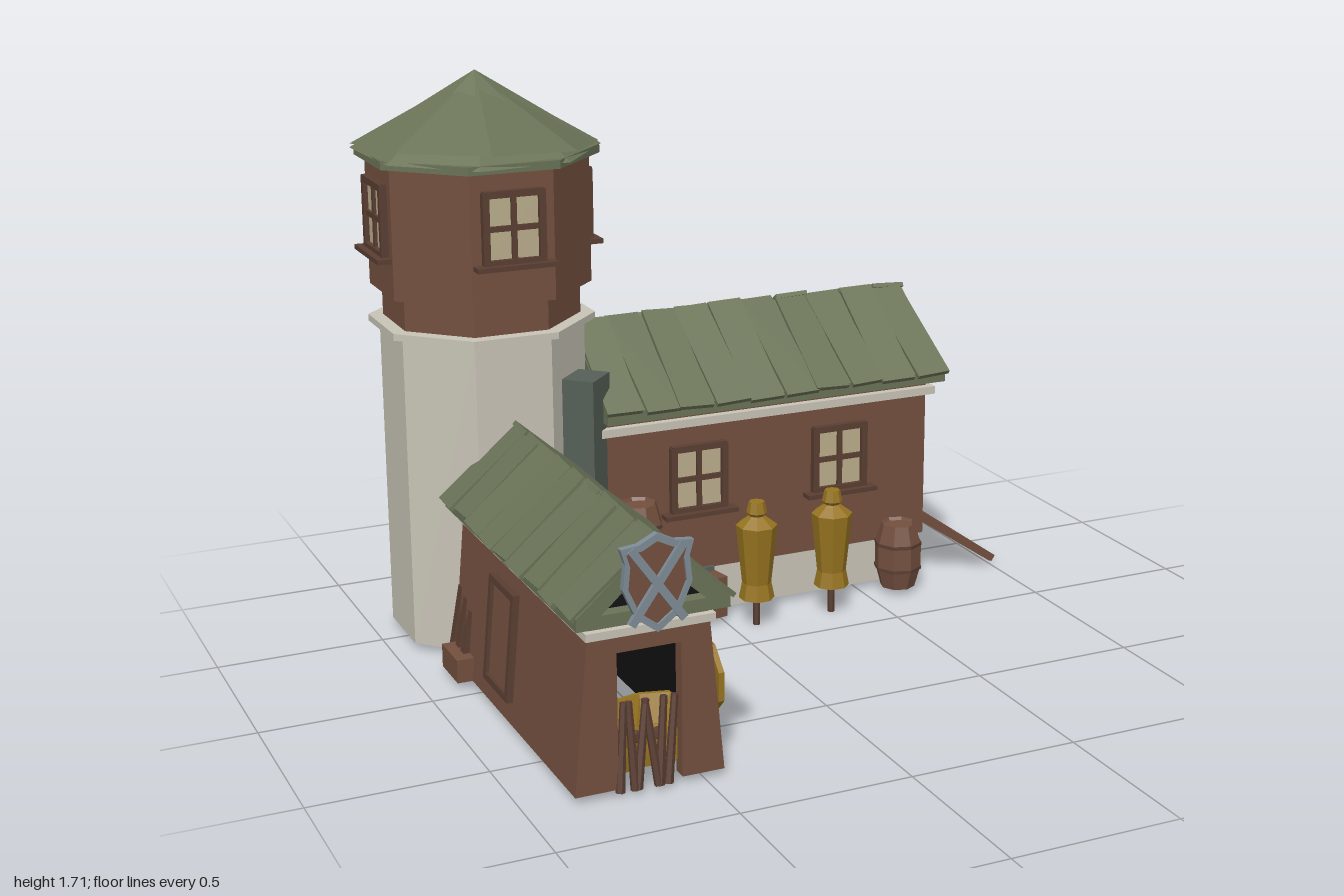
import * as THREE from 'three';

const mat = (name, color) => { const m = new THREE.MeshStandardMaterial({ color }); m.name = name; return m; };
const M = {
  wood: mat('brown wood', 0x74503f), dark: mat('dark wood', 0x5a3e32), roof: mat('green roof', 0x6a7357),
  stone: mat('pale stone', 0xc8c4b6), moss: mat('mossy stone', 0x566058), pane: mat('cream pane', 0xbbae8c),
  gold: mat('straw gold', 0x977420), black: mat('dark interior', 0x121212), steel: mat('steel', 0x7e8b95),
};

// Faceted mesh, added to a parent
function add(parent, name, geo, material, x = 0, y = 0, z = 0) {
  const g = geo.index ? geo.toNonIndexed() : geo;
  g.computeVertexNormals();
  const m = new THREE.Mesh(g, material);
  m.name = name;
  m.position.set(x, y, z);
  parent.add(m);
  return m;
}
function group(parent, name, x = 0, y = 0, z = 0, ry = 0) {
  const g = new THREE.Group();
  g.name = name;
  g.position.set(x, y, z);
  g.rotation.y = ry;
  parent.add(g);
  return g;
}
const box = (w, h, d) => new THREE.BoxGeometry(w, h, d);
// Box given by its limits
const span = (p, name, m, x0, x1, y0, y1, z0, z1) =>
  add(p, name, box(x1 - x0, y1 - y0, z1 - z0), m, (x0 + x1) / 2, (y0 + y1) / 2, (z0 + z1) / 2);
// Octagonal drum with flats on the axes, sized by flat distance
const octagon = (top, bottom, h) => {
  const k = Math.cos(Math.PI / 8);
  return new THREE.CylinderGeometry(top / k, bottom / k, h, 8).rotateY(Math.PI / 8);
};
const poly = pts => new THREE.Shape(pts.map(p => new THREE.Vector2(...p)));
function prism(outer, depth, hole) {
  const s = poly(outer);
  if (hole) s.holes.push(poly(hole));
  return new THREE.ExtrudeGeometry(s, { depth, bevelEnabled: false });
}
let seed = 7;
const rand = () => (seed = (seed * 16807) % 2147483647) / 2147483647 - 0.5;

// Four-pane window facing +z, standing on its sill
function makeWindow(parent, x, y, z, ry, w = 0.18, h = 0.21) {
  const g = group(parent, 'window', x, y, z, ry);
  add(g, 'pane', box(w, h, 0.008), M.pane, 0, h / 2, 0.004);
  for (const s of [-1, 1]) {
    add(g, 'frameSide', box(0.02, h, 0.024), M.dark, s * (w / 2 - 0.006), h / 2, 0.01);
    add(g, 'frameRail', box(w, 0.02, 0.024), M.dark, 0, h / 2 + s * (h / 2 - 0.006), 0.01);
  }
  add(g, 'mullion', box(0.016, h, 0.018), M.dark, 0, h / 2, 0.008);
  add(g, 'crossbar', box(w, 0.016, 0.018), M.dark, 0, h / 2, 0.008);
  add(g, 'sill', box(w + 0.06, 0.014, 0.045), M.dark, 0, -0.005, 0.02);
}

// Gable roof with its ridge along z and loose planks on both slopes
function gableRoof(parent, name, x, y, z, ry, half, rise, len, gable) {
  const g = group(parent, name, x, y, z, ry), e = 0.035;
  add(g, 'roofShell', prism([[-half, 0], [half, 0], [half, e], [0, rise], [-half, e]], len,
    [[-half * 0.68, e], [0, rise - 0.055], [half * 0.68, e]]), M.roof, 0, 0, -len / 2);
  add(g, 'gable', prism([[-half * 0.7, 0.03], [half * 0.7, 0.03], [0, rise - 0.05]], len - 0.08), gable, 0, 0, -len / 2 + 0.04);
  const angle = Math.atan2(rise - e, half), slope = Math.hypot(half, rise - e), n = Math.round(len / 0.115);
  for (const s of [-1, 1]) {
    const side = group(g, 'slope', s * half / 2, (rise + e) / 2 + 0.004, 0);
    side.rotation.z = -s * angle;
    for (let i = 0; i < n; i++) {
      const w = len / n;
      const p = add(side, 'plank', box(slope + 0.02 + rand() * 0.03, 0.014, w * 0.97), M.roof,
        s * 0.008, rand() * 0.006, (i + 0.5) * w - len / 2);
      p.rotation.set(rand() * 0.1, rand() * 0.1, rand() * 0.03);
    }
  }
}

function barrel(parent, x, y, z, ry) {
  const g = group(parent, 'barrel', x, y, z, ry);
  const pts = [[0, 0], [0.055, 0], [0.074, 0.07], [0.074, 0.14], [0.055, 0.21], [0.05, 0.2], [0, 0.2]];
  add(g, 'staves', new THREE.LatheGeometry(pts.map(p => new THREE.Vector2(...p)), 8), M.wood);
  for (const h of [0.065, 0.145]) add(g, 'hoop', new THREE.CylinderGeometry(0.076, 0.076, 0.01, 8), M.dark, 0, h, 0);
}

// Domed eight-sided practice target facing +x
function target(parent, x, y, z) {
  const g = group(parent, 'target', x, y, z);
  const pts = [[0, -0.012], [0.107, -0.012], [0.107, 0.004], [0.025, 0.024], [0.025, 0.03], [0, 0.035]];
  add(g, 'disc', new THREE.LatheGeometry(pts.map(p => new THREE.Vector2(...p)), 8).rotateY(Math.PI / 8).rotateZ(-Math.PI / 2), M.gold);
  add(g, 'boss', new THREE.CylinderGeometry(0.014, 0.02, 0.014, 8).rotateZ(-Math.PI / 2), M.dark, 0.034, 0, 0);
  return g;
}

function dummy(parent, x, z) {
  const g = group(parent, 'trainingDummy', x, 0, z);
  const pts = [[0, 0.09], [0.055, 0.09], [0.045, 0.14], [0.064, 0.325], [0.03, 0.35], [0.024, 0.355], [0.032, 0.365], [0.024, 0.4], [0, 0.4]];
  add(g, 'strawBody', new THREE.LatheGeometry(pts.map(p => new THREE.Vector2(...p)), 8).rotateY(Math.PI / 8), M.gold);
  add(g, 'post', new THREE.CylinderGeometry(0.011, 0.011, 0.1, 6), M.dark, 0, 0.05, 0);
}

export function createModel() {
  const root = new THREE.Group();
  root.name = 'barracks';

  // Octagonal watchtower
  const t = group(root, 'tower', -0.652, 0, -0.5);
  const drum = (name, a, b, y0, y1, m) => add(t, name, octagon(a, b, y1 - y0), m, 0, (y0 + y1) / 2, 0);
  drum('stoneShaft', 0.28, 0.28, 0.02, 0.965, M.stone);
  drum('stoneLedge', 0.31, 0.31, 0.965, 0.985, M.stone);
  drum('lowerTimber', 0.27, 0.27, 0.985, 1.09, M.wood);
  drum('upperTimber', 0.302, 0.302, 1.08, 1.47, M.wood);
  drum('eave', 0.33, 0.33, 1.465, 1.49, M.roof);
  const cap = drum('towerRoof', 0.001, 0.337, 1.488, 1.71, M.roof);
  cap.rotation.set(0.03, 0.1, 0);
  const skew = drum('looseRoofLayer', 0.001, 0.335, 1.5, 1.7, M.roof);
  skew.rotation.set(-0.04, 0.2, -0.04);
  for (let i = 0; i < 4; i++) {
    const a = i * Math.PI / 2;
    makeWindow(t, Math.sin(a) * 0.302, 1.2, Math.cos(a) * 0.302, a);
  }

  // Main hall
  const h = group(root, 'mainHall');
  span(h, 'stoneBase', M.stone, -0.4, 0.72, 0.02, 0.16, -0.75, -0.265);
  span(h, 'walls', M.wood, -0.4, 0.72, 0.16, 0.64, -0.755, -0.262);
  span(h, 'trim', M.stone, -0.4, 0.75, 0.63, 0.655, -0.785, -0.235);
  span(h, 'wallPlate', M.wood, -0.4, 0.73, 0.65, 0.69, -0.76, -0.26);
  gableRoof(h, 'hallRoof', 0.2, 0.675, -0.51, Math.PI / 2, 0.3, 0.245, 1.14, M.wood);
  for (const x of [-0.06, 0.42]) {
    makeWindow(h, x, 0.355, -0.262, 0);
    makeWindow(h, x, 0.355, -0.755, Math.PI);
  }
  span(h, 'mossyFooting', M.moss, -0.4, -0.01, 0.02, 0.165, -0.27, -0.25);
  add(h, 'mossyCorner', box(0.12, 0.8, 0.12), M.moss, -0.42, 0.42, -0.28).rotation.y = Math.PI / 4;

  // Double doors in the end wall
  span(h, 'doors', M.pane, 0.72, 0.728, 0.3, 0.57, -0.655, -0.365);
  for (const [y0, y1, z0, z1] of [[0.24, 0.3, -0.7, -0.32], [0.57, 0.615, -0.7, -0.32], [0.3, 0.57, -0.7, -0.655], [0.3, 0.57, -0.365, -0.32]])
    span(h, 'doorFrame', M.wood, 0.715, 0.742, y0, y1, z0, z1);
  span(h, 'doorSplit', M.dark, 0.72, 0.736, 0.27, 0.57, -0.518, -0.502);
  for (const z of [-0.28, -0.742]) span(h, 'cornerPost', M.wood, 0.7, 0.73, 0.16, 0.64, z - 0.018, z + 0.018);

  // Ramp with two framed panels
  const r = group(root, 'ramp', 0.86, 0.115, -0.515);
  r.rotation.z = -Math.atan2(0.19, 0.28);
  add(r, 'rampDeck', box(0.33, 0.016, 0.49), M.wood);
  for (const z of [-0.235, 0, 0.235]) add(r, 'rampRail', box(0.33, 0.022, 0.034), M.wood, 0, 0.006, z);
  for (const x of [-0.147, 0.147]) add(r, 'rampRail', box(0.036, 0.022, 0.49), M.wood, x, 0.006, 0);

  // Front wing: tapered open shell, lined dark
  const w = group(root, 'frontWing', -0.655);
  const shell = (b, c, top, t) => [[-b, 0.02], [-c, top], [c, top], [b, 0.02], [b - t, 0.02], [c - t, top - t], [t - c, top - t], [t - b, 0.02]];
  add(w, 'wingWalls', prism(shell(0.21, 0.17, 0.455, 0.02), 0.98), M.wood, 0, 0, -0.21);
  add(w, 'wingLining', prism(shell(0.189, 0.151, 0.436, 0.008), 0.95), M.black, 0, 0, -0.21);
  span(w, 'wingBack', M.black, -0.16, 0.16, 0.02, 0.43, -0.2, -0.19);
  add(w, 'frontWall', prism([[-0.21, 0.02], [-0.09, 0.02], [-0.09, 0.4], [0.09, 0.4], [0.09, 0.02], [0.21, 0.02], [0.17, 0.455], [-0.17, 0.455]], 0.04), M.wood, 0, 0, 0.742);
  span(w, 'wingTrim', M.stone, -0.18, 0.18, 0.45, 0.472, -0.22, 0.8);
  span(w, 'wingPlate', M.wood, -0.165, 0.165, 0.47, 0.51, -0.22, 0.78);
  gableRoof(w, 'wingRoof', 0, 0.49, 0.29, 0, 0.212, 0.22, 1.06, M.black);

  // Framed panel on the outer side of the wing
  const d = group(w, 'sidePanel', -0.191, 0.24, 0.19, -Math.PI / 2);
  d.rotation.order = 'YXZ';
  d.rotation.x = -0.092;
  add(d, 'panel', box(0.16, 0.28, 0.008), M.wood, 0, 0, 0.004);
  for (const s of [-1, 1]) {
    add(d, 'panelSide', box(0.02, 0.3, 0.02), M.dark, s * 0.09, 0, 0.008);
    add(d, 'panelRail', box(0.2, 0.02, 0.02), M.dark, 0, s * 0.145, 0.008);
  }

  // Shield with crossed bars over the entrance
  const s = group(root, 'shield', -0.655, 0.6, 0.825);
  const outline = k => [[0, -0.135], [0.06, -0.09], [0.095, -0.01], [0.088, 0.06], [0.1, 0.1], [0.05, 0.105], [0, 0.13],
    [-0.05, 0.105], [-0.1, 0.1], [-0.088, 0.06], [-0.095, -0.01], [-0.06, -0.09]].map(p => [p[0] * k, p[1] * k]);
  add(s, 'shieldRim', prism(outline(1), 0.02, outline(0.84)), M.steel);
  add(s, 'shieldFace', prism(outline(0.87), 0.012), M.wood);
  for (const k of [-1, 1]) add(s, 'crossedBar', box(0.022, 0.25, 0.014), M.steel, 0, -0.005, 0.017).rotation.z = k * 0.62;

  // Targets along the wing and dummies in the yard
  for (const z of [0.62, 0.36, 0.09]) {
    target(root, -0.42, 0.222, z);
    add(root, 'targetPost', box(0.015, 0.2, 0.026), M.dark, -0.437, 0.12, z);
  }
  dummy(root, 0.08, -0.135);
  dummy(root, 0.337, -0.135);
  const spare = group(root, 'leaningDummy', -0.41, 0, 0);
  dummy(spare, 0, -0.13);
  spare.rotation.x = 0.03;

  // Stores in the entrance
  for (const [x, a] of [[-0.615, -0.25], [-0.69, 0.25]]) {
    const g = target(root, x, 0.14, 0.72);
    g.rotation.set(0, -Math.PI / 2 + a, 0.12);
  }
  for (let i = 0; i < 6; i++) {
    const log = add(root, 'stake', new THREE.CylinderGeometry(0.01, 0.013, 0.24, 6), M.dark, -0.73 + i * 0.028, 0.13, 0.77);
    log.rotation.set(-0.12, 0, rand() * 0.5);
  }

  // Barrels, crates and leaning boards
  for (const b of [[-0.37, 0.02, -0.105, 0.2], [-0.215, 0.02, -0.155, 0.4], [-0.305, 0.24, -0.14, 0], [0.61, 0.02, -0.205, 0.1], [-0.43, 0.02, -0.8, 0.3]])
    barrel(root, ...b);
  add(root, 'crate', box(0.14, 0.13, 0.08), M.wood, -0.07, 0.085, -0.215).rotation.y = 0.2;
  add(root, 'smallCrate', box(0.08, 0.07, 0.14), M.wood, -0.87, 0.055, -0.115);
  for (let i = 0; i < 3; i++)
    add(root, 'leaningBoard', box(0.022, 0.24, 0.03), M.dark, -0.855, 0.135, -0.2 + i * 0.05).rotation.z = -0.2 + rand() * 0.1;
  return root;
}
